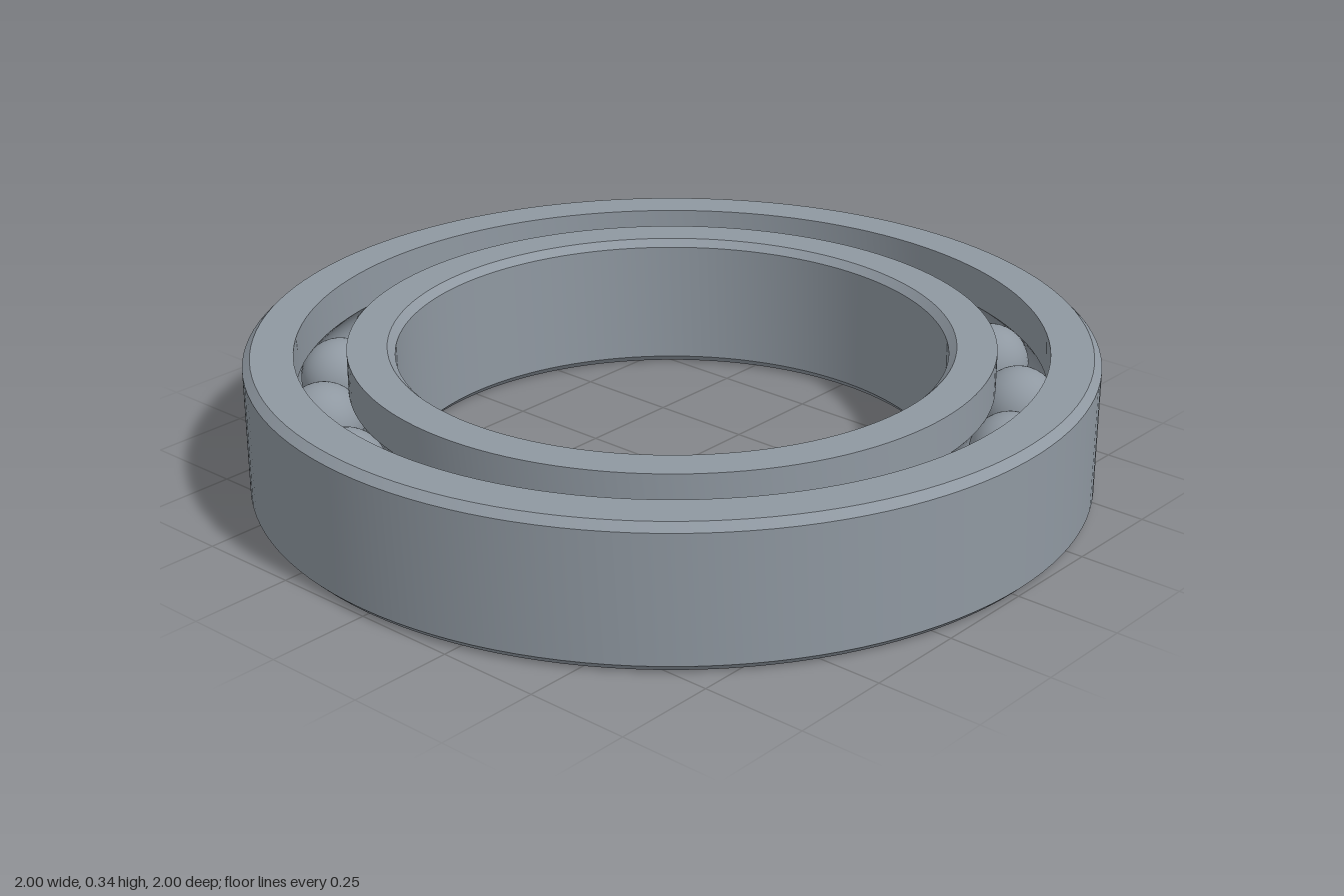
import * as THREE from 'three';
import { toCreasedNormals } from 'three/addons/utils/BufferGeometryUtils.js';

const HEIGHT = 0.34, MID = HEIGHT / 2, CHAMFER = 0.018;
const PITCH = 0.82, BALL_RADIUS = 0.095, BALLS = 19;

// Arc of the ball groove, from angle a to angle b about the pitch circle
function groove(a, b, steps = 12) {
  return Array.from({ length: steps + 1 }, (_, i) => {
    const t = a + (b - a) * i / steps;
    return [PITCH + BALL_RADIUS * Math.cos(t), MID + BALL_RADIUS * Math.sin(t)];
  });
}

// Closed counterclockwise profile turned about the y axis
function ring(name, profile, material) {
  const points = [...profile, profile[0]].map(([x, y]) => new THREE.Vector2(x, y));
  const geometry = toCreasedNormals(new THREE.LatheGeometry(points, 128), 0.45);
  const mesh = new THREE.Mesh(geometry, material);
  mesh.name = name;
  return mesh;
}

export function createModel() {
  const model = new THREE.Group();
  model.name = 'ballBearing';
  const steel = new THREE.MeshStandardMaterial({ color: 0x8f98a1 });
  steel.name = 'steel grey';

  // Outer race: chamfered outside edges, groove inside
  const outerWall = 0.882, innerWall = 0.76, bore = 0.648;
  const outerHalf = Math.acos((outerWall - PITCH) / BALL_RADIUS);
  model.add(ring('outerRace', [
    [outerWall, 0], [1 - CHAMFER, 0], [1, CHAMFER],
    [1, HEIGHT - CHAMFER], [1 - CHAMFER, HEIGHT], [outerWall, HEIGHT],
    ...groove(outerHalf, -outerHalf),
  ], steel));

  // Inner race: chamfered bore, groove outside
  const innerHalf = Math.acos((PITCH - innerWall) / BALL_RADIUS);
  model.add(ring('innerRace', [
    [bore + CHAMFER, 0], [innerWall, 0],
    ...groove(Math.PI + innerHalf, Math.PI - innerHalf),
    [innerWall, HEIGHT], [bore + CHAMFER, HEIGHT],
    [bore, HEIGHT - CHAMFER], [bore, CHAMFER],
  ], steel));

  // Evenly spaced balls
  const balls = new THREE.Group();
  balls.name = 'balls';
  const ballGeometry = new THREE.SphereGeometry(BALL_RADIUS, 32, 24);
  const start = THREE.MathUtils.degToRad(-6.75);
  for (let i = 0; i < BALLS; i++) {
    const a = start + i * 2 * Math.PI / BALLS;
    const ball = new THREE.Mesh(ballGeometry, steel);
    ball.name = 'ball';
    ball.position.set(PITCH * Math.cos(a), MID, PITCH * Math.sin(a));
    balls.add(ball);
  }
  model.add(balls);
  return model;
}
